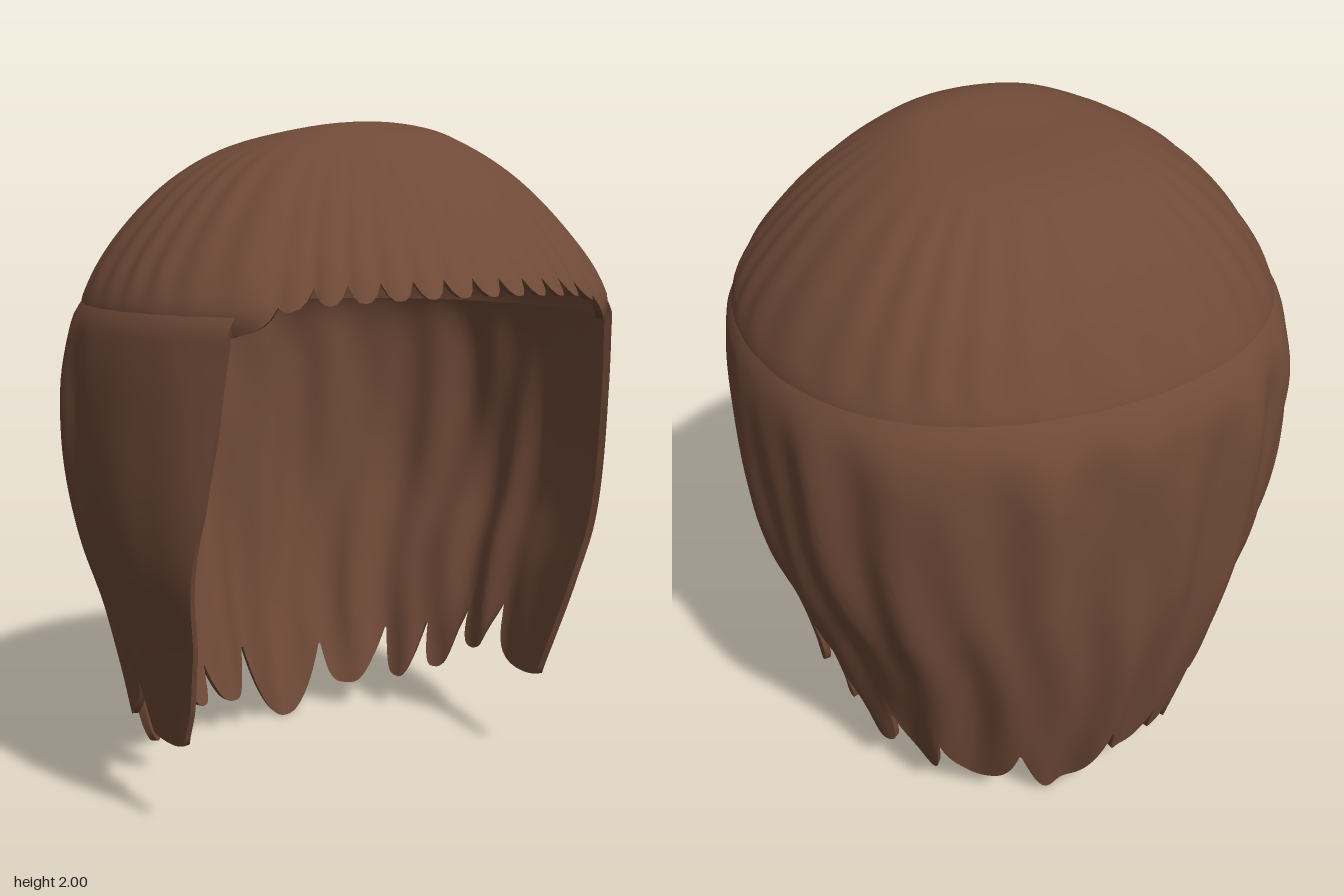
import * as THREE from 'three';
import { mergeVertices, toCreasedNormals } from 'three/addons/utils/BufferGeometryUtils.js';

const THICK = 0.02;
const RIM = 1.5; // height where the hanging hair comes out over the crown

// Horizontal sections: height, half width, front z, back z
const SECTIONS = [
  [2, 0, 0.2, 0.2], [1.98, 0.2, 0.3, 0.02], [1.94, 0.33, 0.385, -0.26], [1.85, 0.49, 0.49, -0.42],
  [1.7, 0.645, 0.625, -0.56], [1.6, 0.718, 0.7, -0.62], [1.5, 0.768, 0.75, -0.67], [1.4, 0.795, 0.74, -0.715],
  [1.25, 0.805, 0.73, -0.73], [1, 0.8, 0.72, -0.725], [0.8, 0.77, 0.72, -0.715], [0.6, 0.705, 0.71, -0.69],
  [0.4, 0.655, 0.7, -0.65], [0.2, 0.62, 0.68, -0.6], [0, 0.56, 0.64, -0.545],
];

// Lock ends round the back: angle of gap, gap height, tip height up to the next gap
const LOCKS = [
  [-112, 0.29, 0.27], [-86, 0.42, 0.27], [-72, 0.38, 0.11], [-60, 0.27, 0.14], [-40, 0.25, 0.07],
  [-32, 0.2, 0.09], [-22, 0.22, 0.08], [-5, 0.26, 0], [23, 0.24, 0.09], [45, 0.3, 0.12],
  [59, 0.35, 0.17], [71, 0.42, 0.27], [84, 0.48, 0.27], [112, 0.29, 0.27],
];

// z of the front edge of the side hair by height
const EDGE = [[1.52, 0.53], [1.2, 0.49], [1, 0.455], [0.8, 0.405], [0.6, 0.35], [0.4, 0.28], [0.3, 0.235], [0, 0.14]];

const { lerp, smoothstep, clamp } = THREE.MathUtils;
const depth = (y) => Math.sqrt(Math.max(0, 2 - y));

// Smooth section at a height: half width, half length and centre z
function section(y) {
  const q = depth(y);
  let k = 0;
  while (k < SECTIONS.length - 2 && depth(SECTIONS[k + 1][0]) < q) k++;
  const at = (i) => SECTIONS[clamp(i, 0, SECTIONS.length - 1)];
  const slope = (i, c) => (at(i + 1)[c] - at(i - 1)[c]) / (depth(at(i + 1)[0]) - depth(at(i - 1)[0]));
  const q0 = depth(at(k)[0]);
  const h = depth(at(k + 1)[0]) - q0;
  const t = (q - q0) / h;
  const value = (c) => {
    const a = at(k)[c], b = at(k + 1)[c];
    return (2 * t ** 3 - 3 * t * t + 1) * a + (t ** 3 - 2 * t * t + t) * h * slope(k, c)
      + (3 * t * t - 2 * t ** 3) * b + (t ** 3 - t * t) * h * slope(k + 1, c);
  };
  const front = value(2), back = value(3);
  return { rx: value(1), rz: (front - back) / 2, cz: (front + back) / 2 };
}

function edgeAngle(y, s) {
  let k = 0;
  while (k < EDGE.length - 2 && y < EDGE[k + 1][0]) k++;
  const [y0, z0] = EDGE[k], [y1, z1] = EDGE[k + 1];
  const z = lerp(z0, z1, (y - y0) / (y1 - y0));
  return Math.acos(clamp((z - s.cz) / (s.rz * 1.02), -1, 1));
}

function lockEnd(deg) {
  let k = 0;
  while (k < LOCKS.length - 2 && deg > LOCKS[k + 1][0]) k++;
  const [a, ga, tip] = LOCKS[k], [b, gb] = LOCKS[k + 1];
  const t = clamp((deg - a) / (b - a), 0, 1);
  return tip + ((t < 0.5 ? ga : gb) - tip) * Math.abs(2 * t - 1) ** 3.2;
}

// Point on a slightly squared ellipse
function ringPoint(s, theta, y, swell, inset) {
  const square = 1 + 0.03 * Math.sin(2 * theta) ** 2;
  const rx = Math.max(0, s.rx * square + swell - inset);
  const rz = Math.max(0, s.rz * square + swell - inset);
  return [rx * Math.sin(theta), y, s.cz + rz * Math.cos(theta)];
}

// Sheet with thickness: rows run down the outside and back up the inside
function shell(cols, rows, point, sideWalls) {
  const pos = [], index = [];
  const last = 2 * rows + 1;
  for (let r = 0; r <= last; r++) {
    const inner = r > rows;
    const v = (inner ? last - r : r) / rows;
    for (let i = 0; i <= cols; i++) pos.push(...point(i / cols, v, inner ? THICK : 0));
  }
  const id = (i, r) => r * (cols + 1) + i;
  const quad = (a, b, c, d) => index.push(a, b, c, a, c, d);
  for (let r = 0; r < last; r++) {
    for (let i = 0; i < cols; i++) quad(id(i, r), id(i, r + 1), id(i + 1, r + 1), id(i + 1, r));
  }
  if (sideWalls) {
    for (let r = 0; r < rows; r++) {
      const n = last - r;
      quad(id(cols, r), id(cols, r + 1), id(cols, n - 1), id(cols, n));
      quad(id(0, n), id(0, n - 1), id(0, r + 1), id(0, r));
    }
  }
  const g = new THREE.BufferGeometry();
  g.setAttribute('position', new THREE.Float32BufferAttribute(pos, 3));
  g.setIndex(index);
  return toCreasedNormals(mergeVertices(g, 1e-5), 1);
}

// Crown with a scalloped fringe at the front; its rim tucks inside the hanging hair
function crownPoint(u, v, inset) {
  const theta = (u * 2 - 1) * Math.PI;
  const a = Math.abs(theta);
  const front = 1 - smoothstep(a, 0.6, 0.85);
  const tooth = Math.abs(Math.sin(theta * 27));
  const fringe = RIM - 0.01 + 0.055 * Math.cos(a * 1.4) + 0.045 * (1 - tooth) ** 1.5;
  const q = v * depth(lerp(1.45, fringe, front));
  const y = 2 - q * q;
  const ridges = 0.004 * Math.sin(theta * 31 + Math.sin(theta * 5) * 2) * (1 - front)
    * smoothstep(v, 0.25, 0.6) * smoothstep(y, RIM, 1.6);
  const scallops = front * (0.012 * (tooth - 0.6) * v ** 4 - 0.025 * Math.sin(2 * theta) ** 2 * v * v);
  const tuck = 0.4 * Math.max(0, RIM - y) * (1 - front);
  return ringPoint(section(y), theta, y - inset * (1 - v), ridges + scallops - tuck, inset);
}

// Hanging hair round the sides and back, waved into locks
function curtainPoint(u, v, inset) {
  const side = u * 2 - 1;
  const y = lerp(RIM + 0.02, lockEnd(-side * 112), v);
  const s = section(y);
  const theta = Math.PI + side * (Math.PI - edgeAngle(y, s));
  const phi = theta - Math.PI;
  const back = 1 - 0.85 * smoothstep(Math.abs(phi), 1.35, 1.75);
  const fall = smoothstep(RIM - y, 0, 0.25);
  const sway = 0.9 * Math.sin(y * 4.5 + phi);
  const wave = 0.011 * Math.sin(phi * 15 + sway) + 0.008 * Math.sin(phi * 24 - sway * 1.3 + 1);
  const emerge = lerp(-0.008, 0.004, smoothstep(RIM - y, -0.02, 0.03));
  return ringPoint(s, theta, y, wave * back * fall + emerge, inset);
}

export function createModel() {
  const brown = new THREE.MeshStandardMaterial({ color: 0x704a38 });
  brown.name = 'brownHair';
  const group = new THREE.Group();
  group.name = 'wig';
  const add = (name, geometry) => {
    const mesh = new THREE.Mesh(geometry, brown);
    mesh.name = name;
    group.add(mesh);
  };
  add('crownAndFringe', shell(324, 30, crownPoint, false));
  add('sideAndBackHair', shell(336, 48, curtainPoint, true));
  return group;
}
